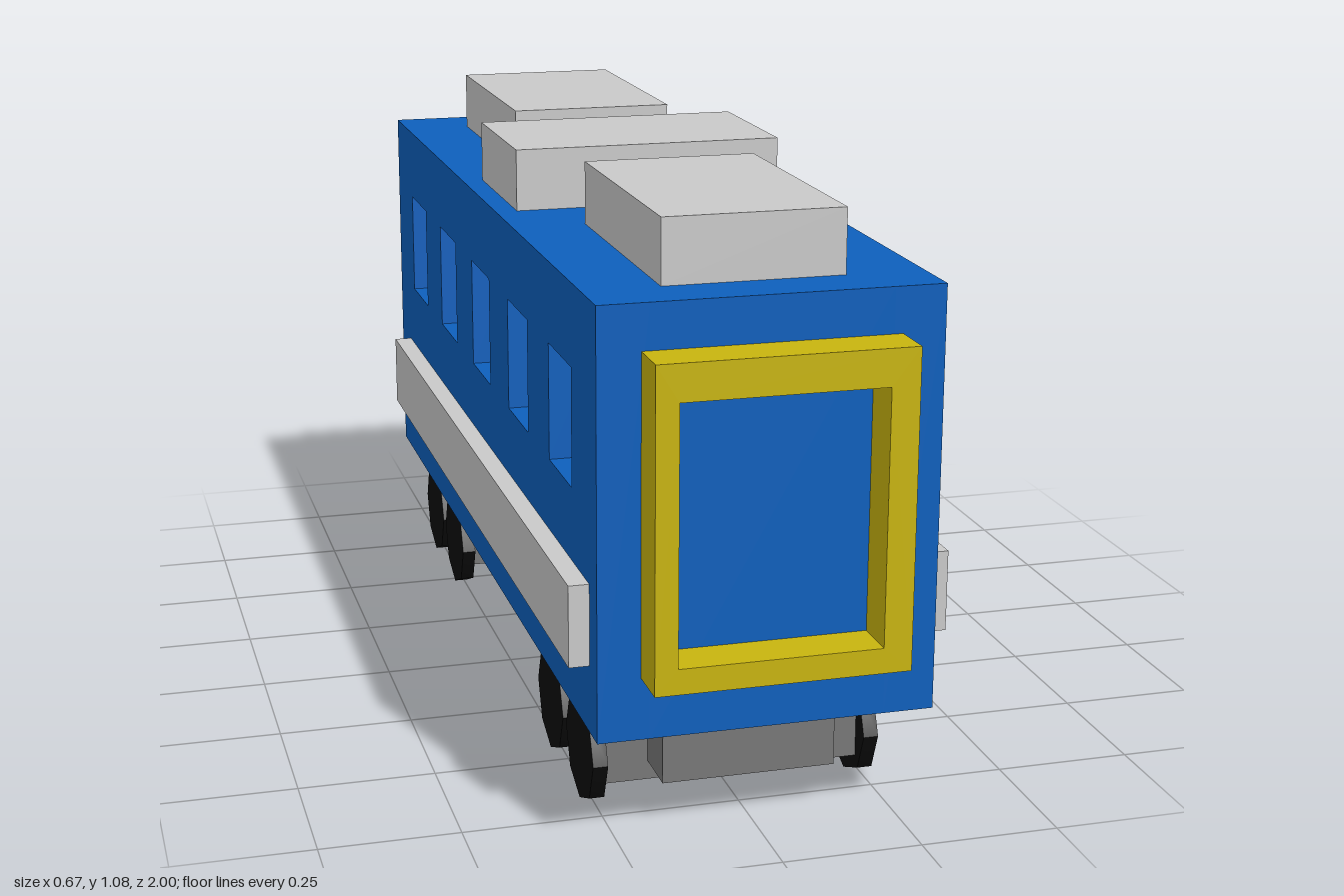
import * as THREE from 'three';

const mat = (name, color) => new THREE.MeshStandardMaterial({ name, color });

export function createModel() {
  const blue = mat('blue', 0x0d5fbc);
  const yellow = mat('yellow', 0xc8b40f);
  const silver = mat('silver', 0xc9c9c9);
  const grey = mat('grey', 0x777777);
  const black = mat('black', 0x0d0d0d);
  const model = new THREE.Group();
  model.name = 'railCarriage';

  const add = (name, geometry, material, parent = model) => {
    const mesh = new THREE.Mesh(geometry, material);
    mesh.name = name;
    parent.add(mesh);
    return mesh;
  };
  // Box given by its limits on each axis
  const box = (name, material, [x0, x1], [y0, y1], [z0, z1], parent) => {
    const mesh = add(name, new THREE.BoxGeometry(x1 - x0, y1 - y0, z1 - z0), material, parent);
    mesh.position.set((x0 + x1) / 2, (y0 + y1) / 2, (z0 + z1) / 2);
    return mesh;
  };
  const trace = (path, x0, x1, y0, y1) =>
    path.moveTo(x0, y0).lineTo(x1, y0).lineTo(x1, y1).lineTo(x0, y1).closePath();
  // Rectangular plate with rectangular holes
  const plate = (outer, holes, depth) => {
    const shape = new THREE.Shape();
    trace(shape, ...outer);
    holes.forEach((h) => {
      const hole = new THREE.Path();
      trace(hole, ...h);
      shape.holes.push(hole);
    });
    return new THREE.ExtrudeGeometry(shape, { depth, bevelEnabled: false });
  };

  // Body: solid core between two walls with window openings
  const wall = 0.09;
  const xL = 0.295, xR = -0.3;
  box('bodyCore', blue, [xR + wall, xL - wall], [0.215, 0.965], [-0.91, 0.915]);
  const windows = [-2, -1, 0, 1, 2].map((i) => i * 0.331 + 0.002);
  const holes = windows.map((z) => [-z - 0.082, -z + 0.082, 0.61, 0.82]);
  const wallGeometry = plate([-0.915, 0.91, 0.215, 0.965], holes, wall).rotateY(Math.PI / 2);
  add('leftWall', wallGeometry, blue).position.x = xL - wall;
  add('rightWall', wallGeometry, blue).position.x = xR;

  // Dark panes at the back of the window openings
  for (const z of windows) {
    for (const x of [xL - wall, xR + wall]) {
      box('windowPane', black, [x - 0.003, x + 0.003], [0.61, 0.82], [z - 0.082, z + 0.082]);
    }
  }

  // Gangway frames at both ends
  const frame = plate([-0.225, 0.22, 0.325, 0.885], [[-0.185, 0.17, 0.37, 0.82]], 0.087);
  add('frontGangway', frame, yellow).position.z = 0.913;
  add('rearGangway', frame, yellow).position.z = -1;
  box('rearGangwayPatch', blue, [0.217, 0.222], [0.82, 0.884], [-0.999, -0.91]);

  // Side rails
  box('leftRail', silver, [xL, 0.335], [0.335, 0.48], [-0.805, 0.865]);
  box('rightRail', silver, [-0.336, xR], [0.335, 0.48], [-0.805, 0.865]);

  // Roof units
  box('frontRoofUnit', silver, [-0.165, 0.155], [0.965, 1.08], [0.305, 0.815]);
  box('middleRoofUnit', silver, [-0.26, 0.25], [0.965, 1.08], [-0.158, 0.16]);
  box('rearRoofUnit', silver, [-0.165, 0.155], [0.965, 1.08], [-0.787, -0.275]);

  // Bogies, each with a long beam, a wide block and four wheels
  const wheel = new THREE.CylinderGeometry(0.1, 0.1, 0.027, 8).rotateZ(Math.PI / 2);
  const wheelMaterial = black;
  for (const [name, z, axle] of [['frontBogie', 0.565, 0.553], ['rearBogie', -0.605, -0.598]]) {
    const bogie = new THREE.Group();
    bogie.name = name;
    model.add(bogie);
    box('beam', grey, [-0.16, 0.152], [0.085, 0.215], [z - 0.255, z + 0.255], bogie);
    box('block', grey, [-0.245, 0.24], [0.05, 0.215], [z - 0.157, z + 0.157], bogie);
    for (const x of [0.242, -0.256]) {
      for (const dz of [-0.112, 0.112]) {
        const mesh = add('wheel', wheel, wheelMaterial, bogie);
        mesh.geometry.computeVertexNormals();
        mesh.position.set(x, 0.102, axle + dz);
      }
    }
  }
  return model;
}
